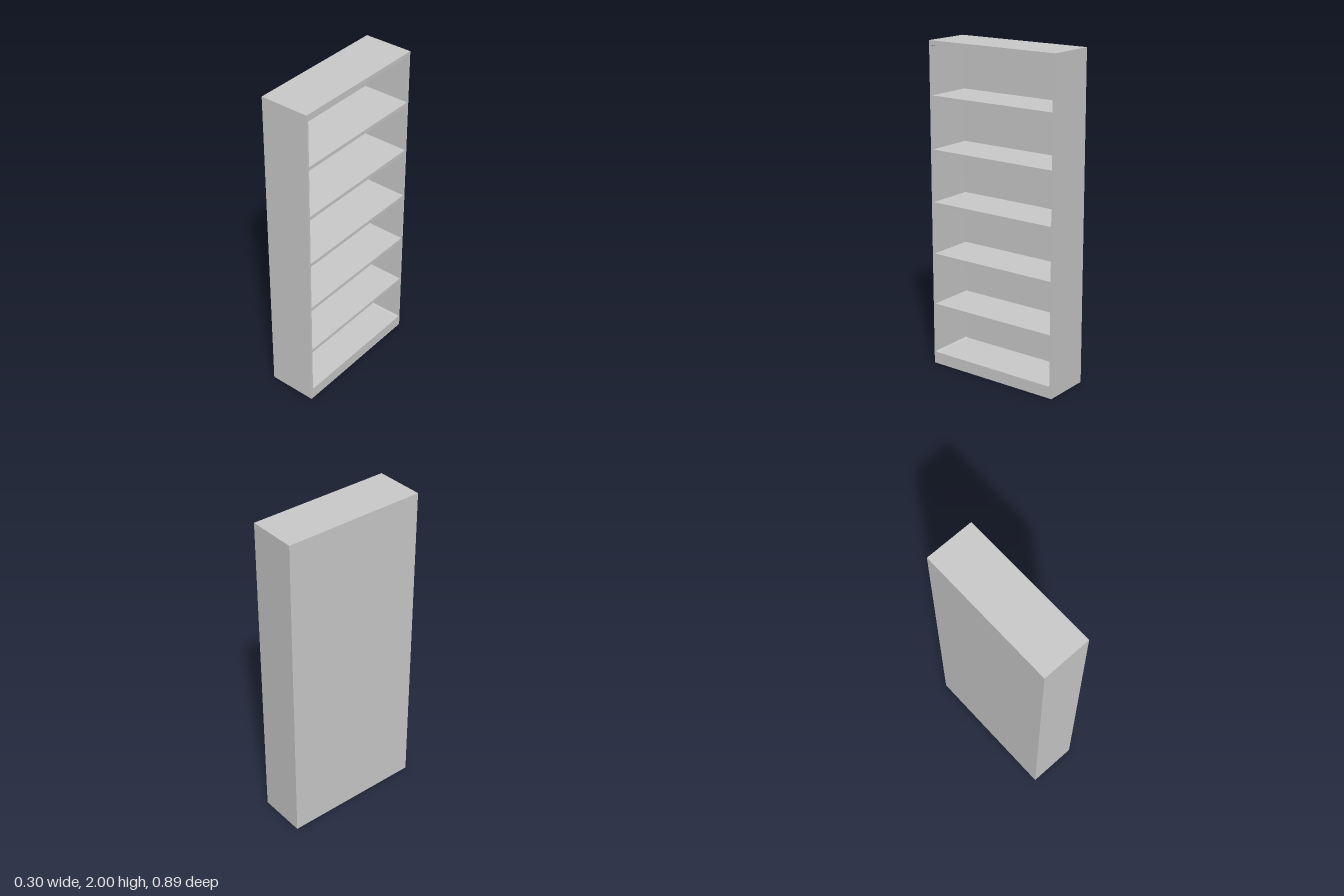
import * as THREE from 'three';

const DEPTH = 0.304, WIDTH = 0.886, HEIGHT = 2;
const SIDE = 0.014, FLOOR_Y = 0.074, CEILING_Y = 1.974, BACK = 0.005;

export function createModel() {
  const group = new THREE.Group();
  const material = new THREE.MeshStandardMaterial({ color: 0xcccccc, flatShading: true });
  const add = (name, geometry, x, y) => {
    const mesh = new THREE.Mesh(geometry, material);
    mesh.name = name;
    mesh.position.set(x, y, 0);
    group.add(mesh);
  };

  // Surround: sides, top and plinth in one frame with softly rounded inner corners
  const w = WIDTH / 2, i = w - SIDE, r = 0.01;
  const outline = new THREE.Shape([
    new THREE.Vector2(-w, 0), new THREE.Vector2(w, 0),
    new THREE.Vector2(w, HEIGHT), new THREE.Vector2(-w, HEIGHT),
  ]);
  const opening = new THREE.Path();
  opening.absarc(i - r, FLOOR_Y + r, r, -Math.PI / 2, 0);
  opening.absarc(i - r, CEILING_Y - r, r, 0, Math.PI / 2);
  opening.absarc(r - i, CEILING_Y - r, r, Math.PI / 2, Math.PI);
  opening.absarc(r - i, FLOOR_Y + r, r, Math.PI, Math.PI * 1.5);
  opening.closePath();
  outline.holes.push(opening);
  const frame = new THREE.ExtrudeGeometry(outline, {
    depth: DEPTH - BACK, bevelEnabled: false, curveSegments: 4,
  });
  frame.rotateY(Math.PI / 2);
  add('frame', frame, BACK - DEPTH / 2, 0);

  // Thin panel closing the -x side
  add('backPanel', new THREE.BoxGeometry(BACK, HEIGHT, WIDTH), (BACK - DEPTH) / 2, HEIGHT / 2);

  // Five evenly spaced shelves, flush with the open +x side
  const thickness = 0.022;
  for (let n = 0; n < 5; n++) {
    const top = 0.392 + n * 0.322;
    add(`shelf${n + 1}`, new THREE.BoxGeometry(DEPTH - BACK, thickness, i * 2), BACK / 2, top - thickness / 2);
  }
  return group;
}
